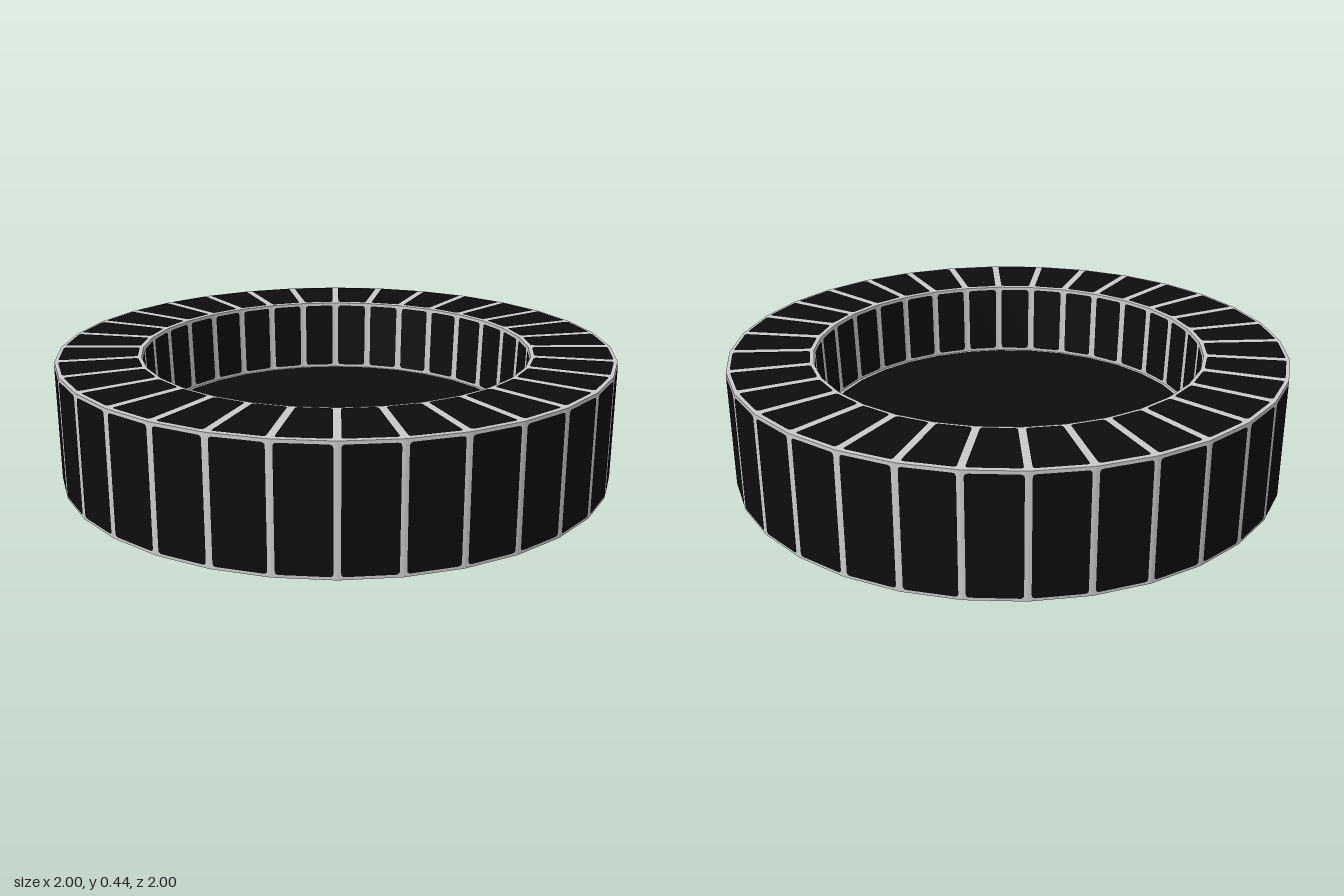
import * as THREE from 'three';

const SIDES = 32;
const APOTHEM = Math.cos(Math.PI / SIDES);
const SLOPE = Math.tan(Math.PI / SIDES);
const HEIGHT = 0.435, FLOOR = 0.16;
const RIM_TOP = 0.70, RIM_FLOOR = 0.69;

// Flat four-sided panel with rounded corners, standing on y = 0 and facing +z
function panelGeometry(halfBottom, halfTop, height, radius = 0.012) {
  const corners = [[-halfBottom, 0], [halfBottom, 0], [halfTop, height], [-halfTop, height]]
    .map(([x, y]) => new THREE.Vector2(x, y));
  const shape = new THREE.Shape();
  corners.forEach((c, i) => {
    const toward = (o) => c.clone().add(o.clone().sub(c).setLength(radius));
    const a = toward(corners[(i + 3) % 4]), b = toward(corners[(i + 1) % 4]);
    if (i === 0) shape.moveTo(a.x, a.y); else shape.lineTo(a.x, a.y);
    shape.quadraticCurveTo(c.x, c.y, b.x, b.y);
  });
  shape.closePath();
  return new THREE.ShapeGeometry(shape, 3);
}

export function createModel() {
  const model = new THREE.Group();
  model.name = 'panelledRing';

  const frameMat = new THREE.MeshStandardMaterial({ color: 0xcacaca, flatShading: true });
  frameMat.name = 'light grey frame';
  const panelMat = new THREE.MeshStandardMaterial({ color: 0x0d0d0d, flatShading: true });
  panelMat.name = 'black panel';

  // Solid frame: base, outer wall, rim, inner wall and raised floor
  const profile = [[0, 0], [1, 0], [1, HEIGHT], [RIM_TOP, HEIGHT], [RIM_FLOOR, FLOOR], [0, FLOOR]]
    .map(([x, y]) => new THREE.Vector2(x, y));
  const frame = new THREE.Mesh(new THREE.LatheGeometry(profile, SIDES), frameMat);
  frame.name = 'frame';
  model.add(frame);

  // Dark floor disc
  const floor = new THREE.Mesh(new THREE.CircleGeometry(0.677, SIDES), panelMat);
  floor.name = 'floorDisc';
  floor.rotation.x = -Math.PI / 2;
  floor.position.y = FLOOR + 0.002;
  model.add(floor);

  // Panel shapes shared by every side
  const rimOuter = 0.983, rimInner = 0.71;
  const outerGeo = panelGeometry(0.087, 0.087, 0.414);
  const rimGeo = panelGeometry(rimOuter * SLOPE - 0.0125, rimInner * SLOPE - 0.0125, rimOuter - rimInner);
  const innerGeo = panelGeometry(0.0555, 0.0565, HEIGHT - FLOOR - 0.02);
  const lean = Math.atan((RIM_TOP - RIM_FLOOR) * APOTHEM / (HEIGHT - FLOOR));

  for (let i = 0; i < SIDES; i++) {
    const side = new THREE.Group();
    side.name = 'sidePanels';
    side.rotation.y = (i + 0.5) * 2 * Math.PI / SIDES;

    const outer = new THREE.Mesh(outerGeo, panelMat);
    outer.name = 'outerPanel';
    outer.position.set(0, 0.0105, APOTHEM + 0.002);

    const rim = new THREE.Mesh(rimGeo, panelMat);
    rim.name = 'rimPanel';
    rim.rotation.x = -Math.PI / 2;
    rim.position.set(0, HEIGHT + 0.002, rimOuter);

    const inner = new THREE.Mesh(innerGeo, panelMat);
    inner.name = 'innerPanel';
    inner.rotation.set(lean, Math.PI, 0);
    inner.position.set(0, FLOOR + 0.01, RIM_FLOOR * APOTHEM - 0.002);

    side.add(outer, rim, inner);
    model.add(side);
  }
  return model;
}
